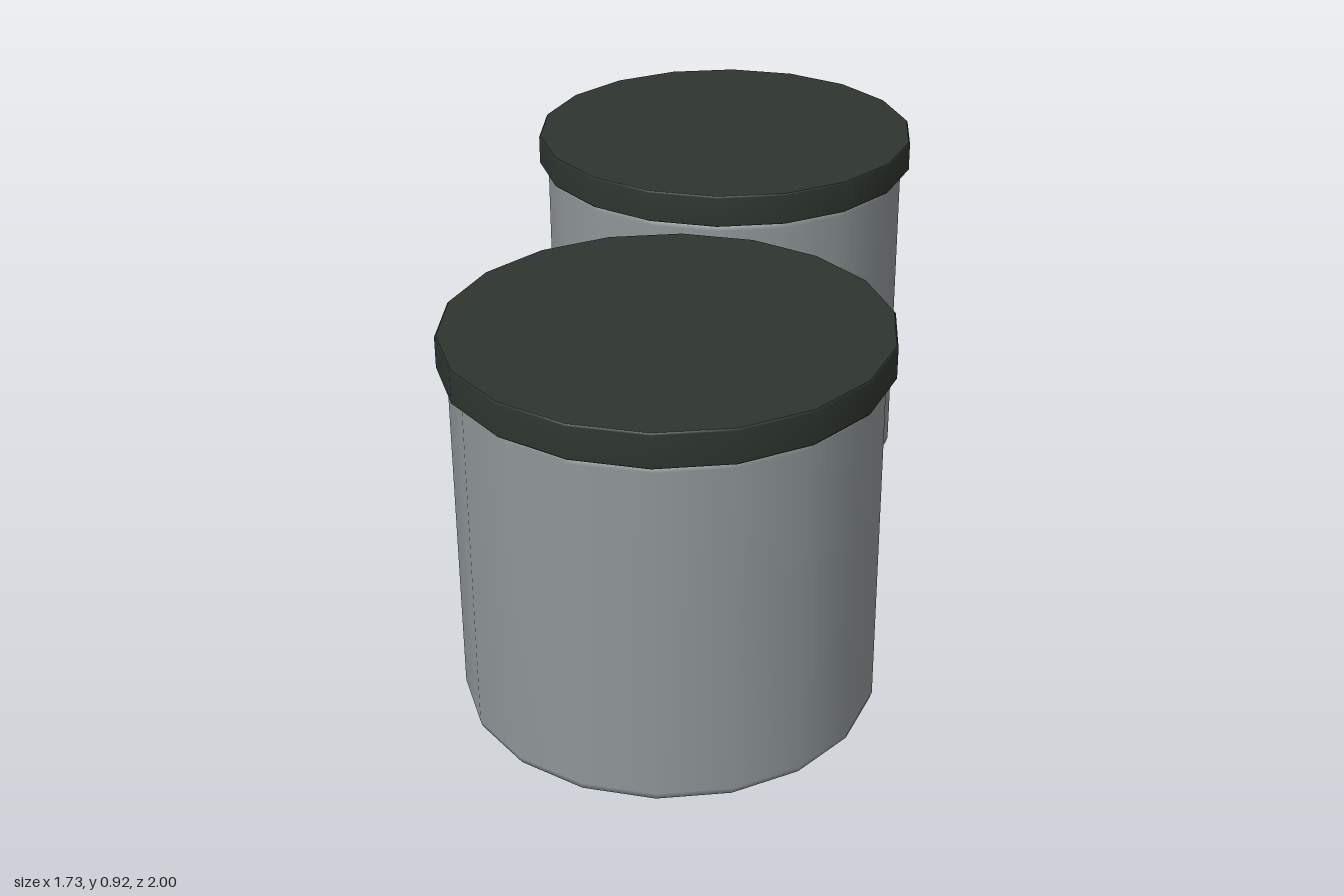
import * as THREE from 'three';

const SIDES = 18;

// Turned solid; a repeated profile point makes a hard edge there
function turned(profile, material, name) {
  const points = profile.map(([r, y]) => new THREE.Vector2(r, y));
  const mesh = new THREE.Mesh(new THREE.LatheGeometry(points, SIDES), material);
  mesh.name = name;
  return mesh;
}

export function createModel() {
  const steel = new THREE.MeshStandardMaterial({ color: 0x8f9698 });
  steel.name = 'grey steel';
  const green = new THREE.MeshStandardMaterial({ color: 0x2e362e });
  green.name = 'dark green lid';

  // Body with softly rounded bottom and shoulder
  const bodyProfile = [
    [0, 0], [0.462, 0], [0.462, 0], [0.475, 0.006], [0.48, 0.022],
    [0.48, 0.815], [0.475, 0.831], [0.46, 0.838], [0.46, 0.838], [0, 0.838],
  ];

  // Flat overhanging lid with tiny edge bevels
  const lidProfile = [
    [0, 0.834], [0.497, 0.834], [0.497, 0.834], [0.5025, 0.84],
    [0.5025, 0.912], [0.499, 0.916], [0.499, 0.916], [0, 0.916],
  ];

  const model = new THREE.Group();
  model.name = 'canisterPair';

  // Two identical canisters set diagonally
  for (const [side, name] of [[1, 'frontCanister'], [-1, 'backCanister']]) {
    const canister = new THREE.Group();
    canister.name = name;
    canister.add(turned(bodyProfile, steel, 'body'), turned(lidProfile, green, 'lid'));
    canister.position.set(side * 0.37, 0, side * 0.4975);
    model.add(canister);
  }
  return model;
}
